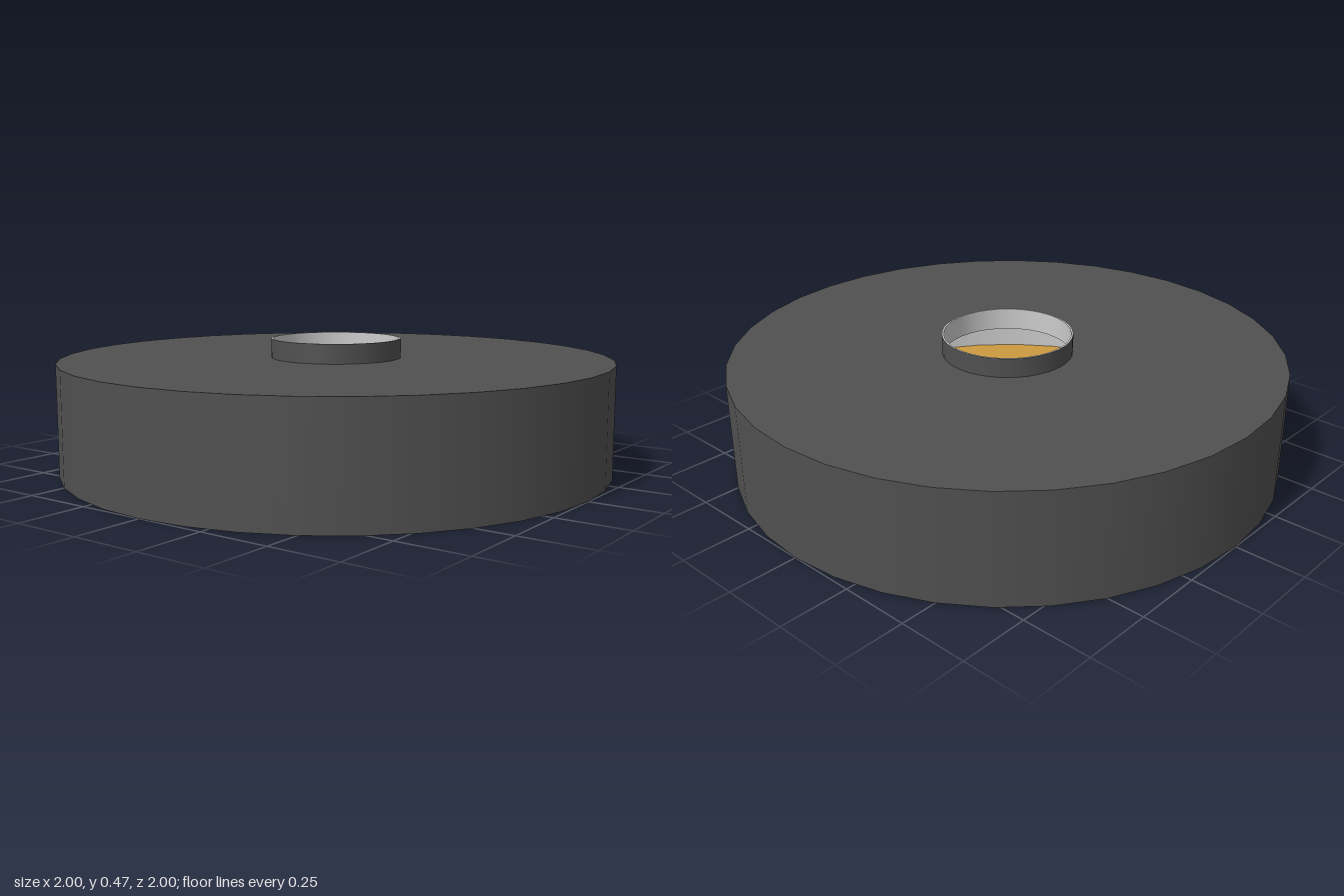
import * as THREE from 'three';
import { mergeGeometries } from 'three/addons/utils/BufferGeometryUtils.js';

const SIDES = 36;
const material = (color) => new THREE.MeshStandardMaterial({ color });

// Turns a profile of [radius, y] points; each segment is its own band so corners stay sharp.
function turned(name, points, mat) {
  const bands = points.slice(1).map((p, i) =>
    new THREE.LatheGeometry([new THREE.Vector2(...points[i]), new THREE.Vector2(...p)], SIDES));
  const mesh = new THREE.Mesh(mergeGeometries(bands), mat);
  mesh.name = name;
  return mesh;
}

export function createModel() {
  const model = new THREE.Group();
  model.name = 'hollowDrum';
  const dark = material(0x505050);
  const grey = material(0xcccccc);
  const gold = material(0xcc9a40);

  // Outer shell: closed base, side wall and top with a central opening
  model.add(turned('outerShell', [[0, 0], [1, 0], [1, 0.4], [0.23, 0.4]], dark));

  // Short collar standing around the opening
  model.add(turned('collar', [[0.237, 0.4], [0.237, 0.47]], dark));

  // Pale lining: collar rim, collar bore, underside of the top and inner wall
  model.add(turned('lining',
    [[0.237, 0.47], [0.23, 0.47], [0.23, 0.39], [0.96, 0.39], [0.96, 0.01]], grey));

  // Golden floor inside the drum
  model.add(turned('floor', [[0.96, 0.012], [0.095, 0.012]], gold));

  // Low round boss in the middle of the floor
  model.add(turned('centreBoss', [[0.095, 0.012], [0.095, 0.025], [0, 0.025]], grey));

  return model;
}
